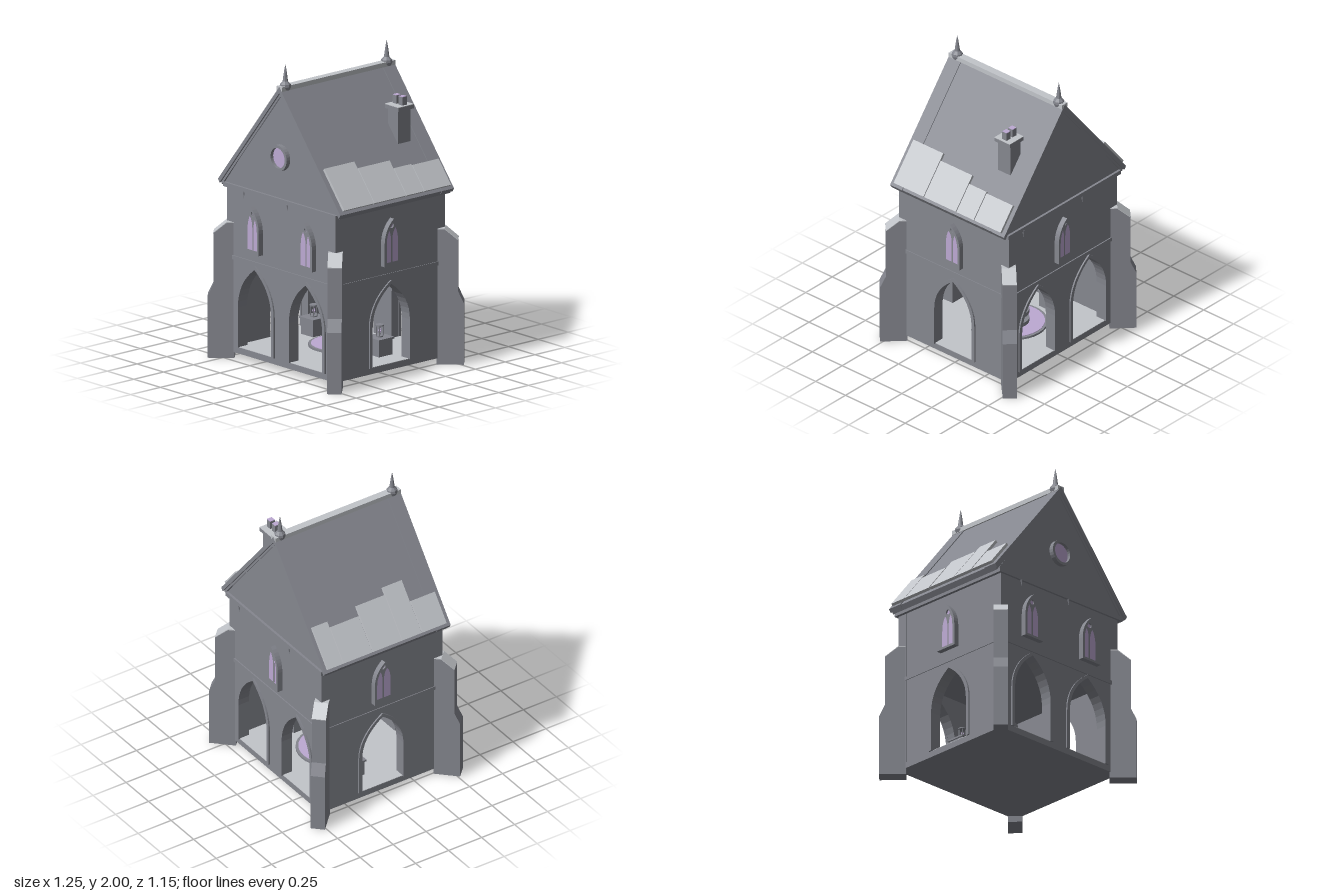
import * as THREE from 'three';

const mat = (name, color) => Object.assign(new THREE.MeshStandardMaterial({ color }), { name });
const V = (x, y) => new THREE.Vector2(x, y);
const HX = 0.51, HZ = 0.46;            // half width and half depth of the walls
const RIDGE = 1.86, PITCH = 1.245, SLOPE = Math.atan(PITCH);

export function createModel() {
  const stone = mat('stone grey', 0x85878f);
  const pale = mat('pale stone', 0xc2c5ca);
  const violet = mat('violet glass', 0xbda9d3);
  const model = new THREE.Group();
  model.name = 'gothicHouse';

  const add = (parent, name, geo, m, x = 0, y = 0, z = 0) => {
    const mesh = new THREE.Mesh(geo, m);
    mesh.name = name;
    mesh.position.set(x, y, z);
    parent.add(mesh);
    return mesh;
  };
  const box = (parent, name, m, w, h, d, x, y, z) =>
    add(parent, name, new THREE.BoxGeometry(w, h, d), m, x, y, z);
  const extrude = (points, depth, holes = []) => {
    const s = new THREE.Shape(points);
    holes.forEach(h => s.holes.push(new THREE.Path(h)));
    return new THREE.ExtrudeGeometry(s, { depth, bevelEnabled: false });
  };
  const faceted = geo => {
    const g = geo.toNonIndexed();
    g.computeVertexNormals();
    return g;
  };

  // Pointed arch outline, from bottom left over the apex to bottom right
  const arch = (cx, hw, y0, spring, apex, n = 8) => {
    const curve = new THREE.QuadraticBezierCurve(
      V(-hw, spring), V(-hw, spring + 0.6 * (apex - spring)), V(0, apex));
    const left = [V(-hw, y0), ...curve.getPoints(n)];
    const right = left.slice(0, -1).reverse().map(p => V(-p.x, p.y));
    return [...left, ...right].map(p => V(p.x + cx, p.y));
  };
  const circle = (cx, cy, r, n = 20) => Array.from({ length: n }, (_, i) =>
    V(cx + r * Math.cos(i / n * Math.PI * 2), cy + r * Math.sin(i / n * Math.PI * 2)));

  // Window: projecting frame, glass, tracery with two lancets and a small circle
  const addWindow = (parent, x) => {
    const g = new THREE.Group();
    g.name = 'window';
    g.position.x = x;
    parent.add(g);
    add(g, 'windowFrame', extrude(arch(0, 0.078, 0.727, 0.87, 1.03), 0.035,
      [arch(0, 0.06, 0.742, 0.87, 1.01)]), stone);
    add(g, 'windowGlass', extrude(arch(0, 0.062, 0.74, 0.87, 1.012), 0.004), violet);
    add(g, 'windowTracery', extrude(arch(0, 0.062, 0.74, 0.87, 1.012), 0.014, [
      arch(-0.03, 0.024, 0.744, 0.89, 0.965, 5),
      arch(0.03, 0.024, 0.744, 0.89, 0.965, 5),
      circle(0, 0.982, 0.018, 12)]), stone);
  };

  // One storeyed wall with arched openings, its outer face at local z = 0
  const addFacade = (name, angle, dist, half, arches, apex, windows) => {
    const g = new THREE.Group();
    g.name = name;
    g.rotation.y = angle;
    g.position.set(Math.sin(angle) * dist, 0, Math.cos(angle) * dist);
    model.add(g);
    const outline = [V(-half, 0.08)];
    arches.forEach(x => outline.push(...arch(x, 0.157, 0.08, 0.34, apex)));
    outline.push(V(half, 0.08), V(half, 1.12), V(-half, 1.12));
    add(g, 'wall', extrude(outline, 0.07), stone, 0, 0, -0.07);
    arches.forEach(x => {
      const ring = [...arch(x, 0.18, 0.08, 0.34, apex + 0.024),
        ...arch(x, 0.156, 0.08, 0.34, apex).reverse()];
      add(g, 'archTrim', extrude(ring, 0.018), stone, 0, 0, -0.008);
    });
    windows.forEach(x => addWindow(g, x));
    return g;
  };
  const front = addFacade('frontWall', 0, HZ, HX, [-0.24, 0.24], 0.618, [-0.25, 0.25]);
  addFacade('backWall', Math.PI, HZ, HX, [-0.24, 0.24], 0.618, [0]);
  addFacade('leftWall', Math.PI / 2, HX, HZ - 0.071, [0], 0.6, [0]);
  addFacade('rightWall', -Math.PI / 2, HX, HZ - 0.071, [0], 0.6, [0]);

  // Round gable window
  add(front, 'roundWindowFrame', extrude(circle(0, 1.4, 0.084, 28), 0.04,
    [circle(0, 1.4, 0.066, 28)]), stone, 0, 0, -0.01);
  add(front, 'roundWindowGlass', extrude(circle(0, 1.4, 0.068, 28), 0.008), violet);

  // Base, floor, string course (also the ceiling) and cornice
  box(model, 'plinth', stone, HX * 2, 0.04, HZ * 2, 0, 0.06, 0);
  box(model, 'floor', pale, HX * 2 - 0.002, 0.004, HZ * 2 - 0.002, 0, 0.081, 0);
  box(model, 'stringCourse', stone, 1.03, 0.025, 0.935, 0, 0.657, 0);
  box(model, 'cornice', stone, 1.06, 0.028, 0.95, 0, 1.119, 0);

  // Hooks hanging from the cornice
  [[-0.34, 1], [0.07, 1], [-0.17, -1], [0.385, -1]].forEach(([x, s]) => {
    add(model, 'corniceHook', new THREE.ConeGeometry(0.009, 0.05, 4), stone,
      x, 1.085, s * 0.47).rotation.x = Math.PI;
  });

  // Diagonal corner buttresses, local x pointing outwards
  for (const sx of [-1, 1]) for (const sz of [-1, 1]) {
    const g = new THREE.Group();
    g.name = 'buttress';
    g.position.set(sx * HX, 0, sz * HZ);
    g.rotation.y = Math.atan2(-sz, sx);
    model.add(g);
    add(g, 'buttressBody', extrude([V(-0.05, 0), V(0.12, 0), V(0.12, 0.4), V(0.083, 0.48),
      V(0.083, 0.81), V(0, 0.88), V(-0.05, 0.88)], 0.09), stone, 0, 0, -0.045);
    add(g, 'buttressCap', extrude([V(0.084, 0.809), V(0.084, 0.813), V(0, 0.884),
      V(-0.05, 0.884), V(-0.05, 0.878), V(0, 0.878)].reverse(), 0.091), pale, 0, 0, -0.0455);
  }

  // Roof: attic, chevron slab, raised verges, ridge
  add(model, 'gable', extrude([V(-0.53, 1.13), V(0.53, 1.13), V(0, 1.82)], HZ * 2 - 0.002),
    stone, 0, 0, -HZ + 0.001);
  const chevron = (lift, thick, eave, depth) => {
    const at = (x, dy) => V(x, RIDGE + dy - PITCH * Math.abs(x));
    const e = eave - thick * 0.35;
    return extrude([at(-eave, lift), at(-e, lift - thick), at(0, lift - thick),
      at(e, lift - thick), at(eave, lift), at(0, lift)], depth);
  };
  add(model, 'roof', chevron(-0.008, 0.055, 0.57, 0.93), stone, 0, 0, -0.465);
  for (const s of [-1, 1])
    add(model, 'roofVerge', chevron(0, 0.04, 0.575, 0.1), stone, 0, 0, s * 0.427 - 0.05);
  box(model, 'ridge', pale, 0.05, 0.03, 0.95, 0, 1.848, 0);

  // Eave slabs: [z start, z end, upper x]
  const slabs = {
    '1': [[-0.45, -0.23, 0.445], [-0.225, -0.08, 0.44], [-0.075, 0.19, 0.405], [0.195, 0.445, 0.375]],
    '-1': [[-0.455, -0.34, 0.385], [-0.335, -0.12, 0.41], [-0.11, 0.105, 0.37],
      [0.11, 0.255, 0.34], [0.265, 0.445, 0.43]],
  };
  for (const s of [1, -1]) slabs[s].forEach(([z0, z1, x0]) => {
    const x1 = 0.562, xm = (x0 + x1) / 2, lift = 0.011;
    const slab = box(model, 'eaveSlab', pale, (x1 - x0) / Math.cos(SLOPE), 0.018, z1 - z0,
      s * (xm + lift * Math.sin(SLOPE)), RIDGE - PITCH * xm + lift * Math.cos(SLOPE), (z0 + z1) / 2);
    slab.rotation.z = -s * SLOPE;
  });

  // Ridge finials
  const finial = faceted(new THREE.LatheGeometry([V(0.03, 1.835), V(0.036, 1.855), V(0.034, 1.872),
    V(0.017, 1.89), V(0.012, 1.93), V(0.006, 1.97), V(0, 2)], 8));
  for (const s of [-1, 1]) add(model, 'finial', finial, stone, 0, 0, s * 0.425);

  // Chimney
  box(model, 'chimneyStack', stone, 0.095, 0.31, 0.105, 0.291, 1.495, -0.27);
  box(model, 'chimneyCap', stone, 0.13, 0.025, 0.13, 0.294, 1.658, -0.27);
  box(model, 'chimneyCapTop', pale, 0.13, 0.004, 0.13, 0.294, 1.672, -0.27);
  for (const x of [0.266, 0.322]) {
    box(model, 'chimneyPot', stone, 0.038, 0.054, 0.038, x, 1.7, -0.273);
    box(model, 'chimneyPotTop', violet, 0.036, 0.004, 0.036, x, 1.728, -0.273);
  }

  // Central ringed pillar on a round dais, with a floating crystal
  const cyl = (parent, name, m, r, h, x, y, z, n = 24) =>
    add(parent, name, new THREE.CylinderGeometry(r, r, h, n), m, x, y, z);
  const crystal = (parent, r, h, x, y, z) =>
    add(parent, 'crystal', new THREE.OctahedronGeometry(1), violet, x, y, z).scale.set(r, h, r);
  const pillar = new THREE.Group();
  pillar.name = 'ringedPillar';
  pillar.position.z = -0.05;
  model.add(pillar);
  cyl(pillar, 'dais', stone, 0.212, 0.016, 0, 0.089, 0, 32);
  cyl(pillar, 'daisTop', violet, 0.195, 0.004, 0, 0.098, 0, 32);
  cyl(pillar, 'pillarCore', violet, 0.068, 0.28, 0, 0.235, 0);
  for (let i = 0; i < 5; i++) cyl(pillar, 'pillarRing', stone, 0.097, 0.026, 0, 0.112 + i * 0.064, 0);
  crystal(pillar, 0.042, 0.058, 0, 0.512, 0);

  // Pedestals carrying small lanterns
  for (const s of [-1, 1]) {
    const g = new THREE.Group();
    g.name = 'lanternPedestal';
    g.position.set(s * 0.31, 0, -0.09);
    model.add(g);
    box(g, 'pedestal', stone, 0.114, 0.11, 0.114, 0, 0.135, 0);
    box(g, 'pedestalTop', stone, 0.13, 0.012, 0.13, 0, 0.191, 0);
    cyl(g, 'lanternBase', stone, 0.022, 0.008, 0, 0.201, 0, 8);
    cyl(g, 'lanternLid', stone, 0.028, 0.008, 0, 0.272, 0, 8);
    for (const px of [-1, 1]) for (const pz of [-1, 1])
      box(g, 'lanternPost', stone, 0.005, 0.068, 0.005, px * 0.014, 0.237, pz * 0.014);
    crystal(g, 0.013, 0.027, 0, 0.236, 0);
  }
  return model;
}
